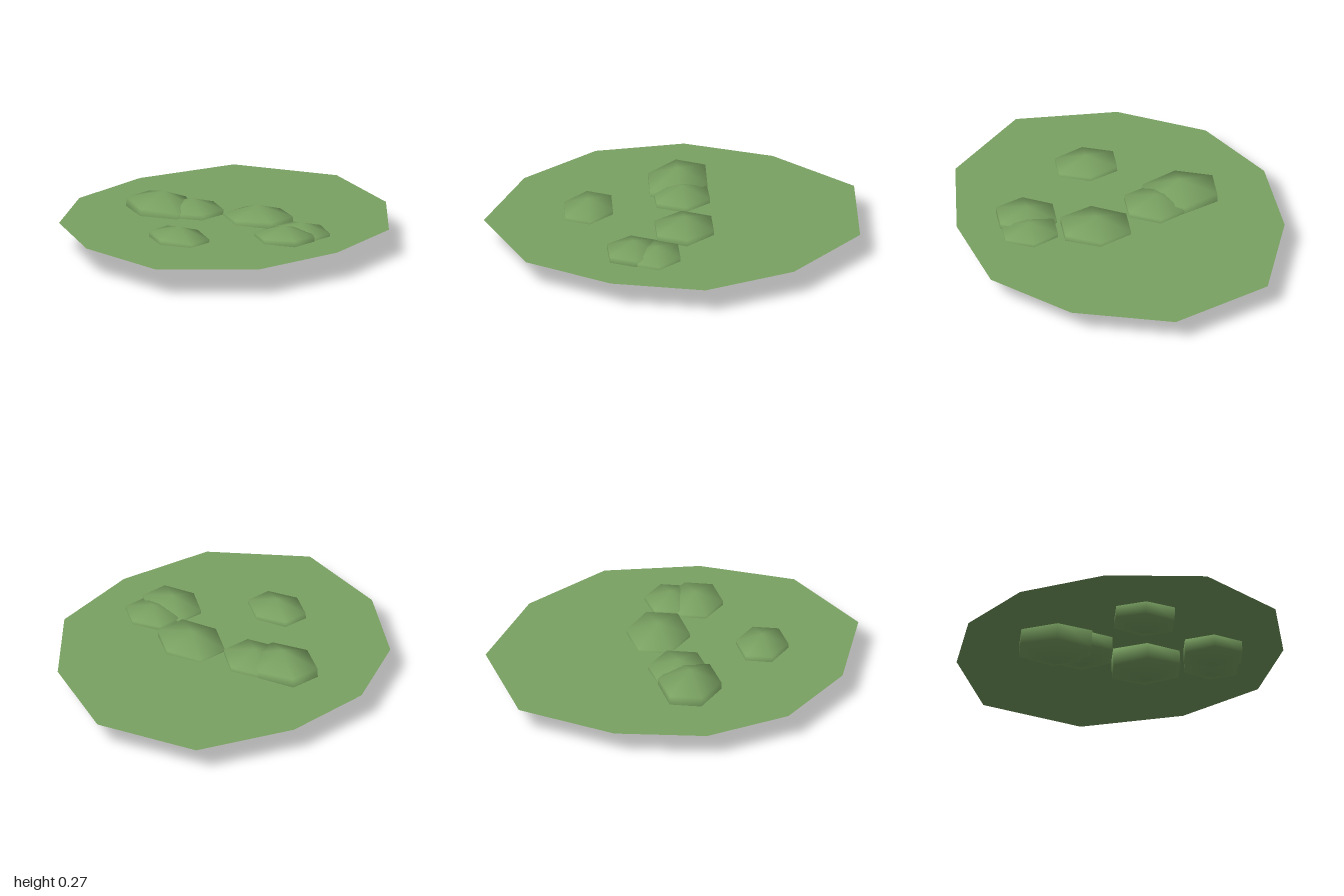
import * as THREE from 'three';

export function createModel() {
  const group = new THREE.Group();
  group.name = 'shrubPatch';

  const leafGreen = new THREE.MeshStandardMaterial({ color: 0x7aa262, side: THREE.DoubleSide });
  leafGreen.name = 'leafGreen';

  // Thin, very slightly domed irregular leaf sheet: a fan around the centre
  const rim = [
    [-0.165, -1], [0.39, -0.825], [0.78, -0.455], [0.89, 0.06], [0.815, 0.59], [0.415, 0.995],
    [-0.145, 0.975], [-0.6, 0.73], [-0.86, 0.31], [-0.895, -0.2], [-0.715, -0.75],
  ];
  const positions = [0, 0.17, 0];
  const index = [];
  rim.forEach(([x, z], i) => {
    positions.push(x, 0.162, z);
    index.push(0, 1 + ((i + 1) % rim.length), 1 + i);
  });
  const sheetGeometry = new THREE.BufferGeometry();
  sheetGeometry.setAttribute('position', new THREE.Float32BufferAttribute(positions, 3));
  sheetGeometry.setIndex(index);
  sheetGeometry.computeVertexNormals();
  const sheet = new THREE.Mesh(sheetGeometry, leafGreen);
  sheet.name = 'leafSheet';
  group.add(sheet);

  // Six-sided smooth clumps: centre x, y, z, then half width, height and depth, then tilt
  const clumpGeometry = new THREE.SphereGeometry(1, 6, 3, Math.PI / 6);
  const clumps = [
    [-0.37, 0.138, 0.155, 0.195, 0.137, 0.175, -0.05],
    [-0.22, 0.138, 0.075, 0.163, 0.108, 0.168, 0.03],
    [0.14, 0.135, -0.08, 0.183, 0.115, 0.175, 0.05],
    [0.5, 0.142, 0.08, 0.157, 0.098, 0.155, 0.04],
    [0.5, 0.14, -0.055, 0.146, 0.09, 0.145, -0.03],
    [0.1, 0.14, 0.5, 0.162, 0.1, 0.145, -0.04],
  ];
  clumps.forEach(([x, y, z, w, h, d, tilt], i) => {
    const clump = new THREE.Mesh(clumpGeometry, leafGreen);
    clump.name = `leafClump${i + 1}`;
    clump.position.set(x, y, z);
    clump.scale.set(w / 0.75, h, d / 0.866);
    clump.rotation.z = tilt;
    group.add(clump);
  });

  return group;
}
